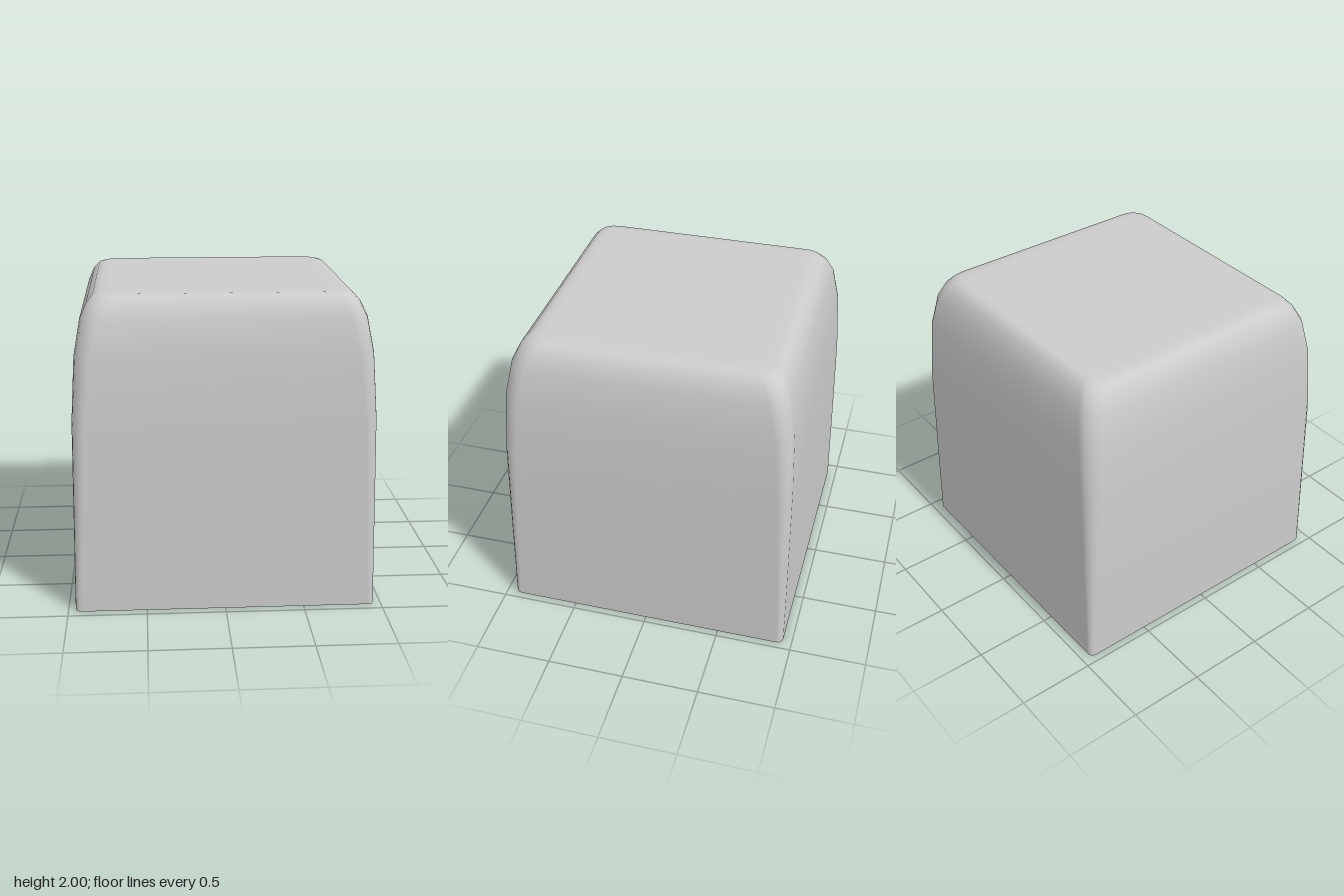
import * as THREE from 'three';

const CORNER_STEPS = 4;

// One horizontal rounded-rectangle loop, counter-clockwise seen from below.
function ringPoints(y, halfX, halfZ, radius) {
  const points = [];
  for (let corner = 0; corner < 4; corner++) {
    const sx = corner === 0 || corner === 3 ? 1 : -1;
    const sz = corner < 2 ? 1 : -1;
    for (let i = 0; i <= CORNER_STEPS; i++) {
      const a = (corner + i / CORNER_STEPS) * Math.PI / 2;
      points.push([
        sx * (halfX - radius) + radius * Math.cos(a),
        y,
        sz * (halfZ - radius) + radius * Math.sin(a),
      ]);
    }
  }
  return points;
}

// Skin a stack of loops and close the upper end with a fan.
function loftCap(sections) {
  const rings = sections.map((s) => ringPoints(...s));
  const n = rings[0].length;
  const positions = rings.flat(2);
  const index = [];
  for (let r = 0; r < rings.length - 1; r++) {
    for (let i = 0; i < n; i++) {
      const a = r * n + i, b = r * n + (i + 1) % n;
      index.push(a, a + n, b, b, a + n, b + n);
    }
  }
  const last = (rings.length - 1) * n;
  const centre = rings.length * n;
  positions.push(0, 2, 0);
  for (let i = 0; i < n; i++) index.push(last + i, centre, last + (i + 1) % n);

  const geometry = new THREE.BufferGeometry();
  geometry.setAttribute('position', new THREE.Float32BufferAttribute(positions, 3));
  geometry.setIndex(index);
  geometry.computeVertexNormals();
  return geometry;
}

export function createModel() {
  const group = new THREE.Group();
  group.name = 'keycap';

  // Height, half width, half depth, corner radius; open at the base.
  const sections = [
    [0, 0.955, 0.94, 0.04],
    [0.6, 0.95, 0.935, 0.06],
    [1.22, 0.945, 0.927, 0.08],
    [1.63, 0.922, 0.908, 0.1],
    [1.85, 0.883, 0.868, 0.11],
    [1.94, 0.842, 0.825, 0.11],
    [1.985, 0.802, 0.785, 0.11],
    [1.998, 0.76, 0.745, 0.1],
    [2, 0.7, 0.685, 0.09],
  ];
  const shell = new THREE.Mesh(
    loftCap(sections),
    new THREE.MeshStandardMaterial({ color: 0xcccccc, side: THREE.DoubleSide }),
  );
  shell.name = 'shell';
  group.add(shell);
  return group;
}
